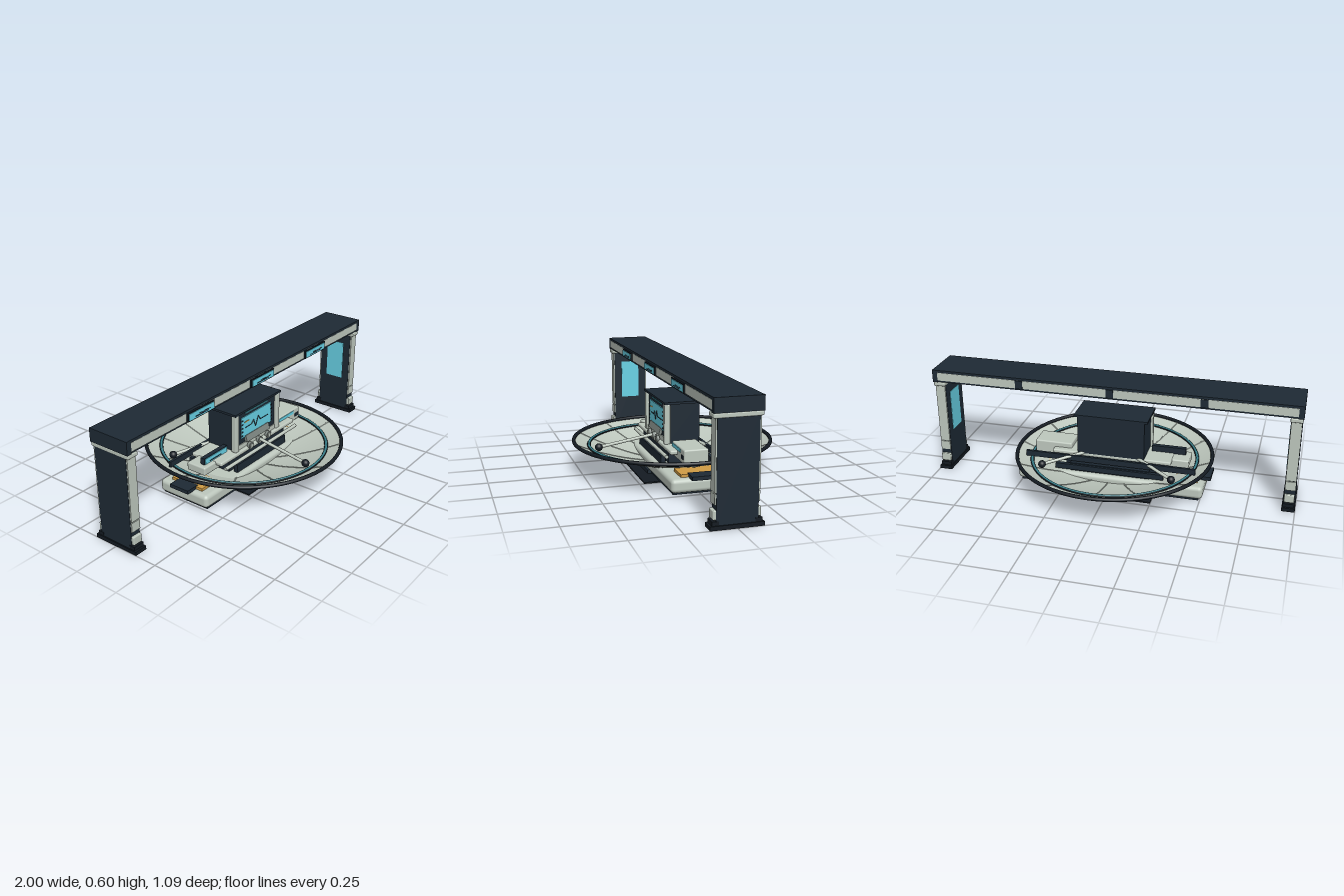
import * as THREE from 'three';
import { RoundedBoxGeometry } from 'three/addons/geometries/RoundedBoxGeometry.js';

const mat = (name, color, extra = {}) => {
  const m = new THREE.MeshStandardMaterial({ color, ...extra });
  m.name = name;
  return m;
};

export function createModel() {
  const root = new THREE.Group();
  root.name = 'scannerStation';
  const dark = mat('navy', 0x1e2a35);
  const black = mat('black', 0x141b22);
  const light = mat('paleGrey', 0xbec8be);
  const shell = mat('dishGrey', 0xbec8be, { side: THREE.DoubleSide });
  const mid = mat('midGrey', 0x7e8782);
  const cyan = mat('cyan', 0x68d2e6);
  const teal = mat('teal', 0x3a818c);
  const tan = mat('ochre', 0xd09c45);

  const add = (parent, name, geo, m, x = 0, y = 0, z = 0) => {
    const mesh = new THREE.Mesh(geo, m);
    mesh.name = name;
    mesh.position.set(x, y, z);
    parent.add(mesh);
    return mesh;
  };
  // Box from min/max extents
  const box = (parent, name, m, x0, x1, y0, y1, z0, z1) =>
    add(parent, name, new THREE.BoxGeometry(x1 - x0, y1 - y0, z1 - z0), m,
      (x0 + x1) / 2, (y0 + y1) / 2, (z0 + z1) / 2);
  const rbox = (parent, name, m, x0, x1, y0, y1, z0, z1, r) =>
    add(parent, name, new RoundedBoxGeometry(x1 - x0, y1 - y0, z1 - z0, 3, r), m,
      (x0 + x1) / 2, (y0 + y1) / 2, (z0 + z1) / 2);
  const rod = (parent, name, m, a, b, r) => {
    const d = b.clone().sub(a);
    const mesh = add(parent, name, new THREE.CylinderGeometry(r, r, d.length(), 10), m);
    mesh.position.copy(a).addScaledVector(d, 0.5);
    mesh.quaternion.setFromUnitVectors(new THREE.Vector3(0, 1, 0), d.normalize());
    return mesh;
  };
  const V = (x, y, z) => new THREE.Vector3(x, y, z);

  // Overhead beam
  const beam = new THREE.Group();
  beam.name = 'beam';
  root.add(beam);
  box(beam, 'beamTop', dark, -1, 1, 0.585, 0.598, -0.118, 0.118);
  box(beam, 'beamCore', dark, -0.998, 0.998, 0.528, 0.585, -0.112, 0.112);
  box(beam, 'beamLight', cyan, -0.8, 0.8, 0.524, 0.529, -0.022, 0.022);
  for (const s of [-1, 1]) {
    box(beam, 'beamFascia', light, -0.972, 0.972, 0.539, 0.584, s * 0.114 - 0.004, s * 0.114 + 0.004);
    box(beam, 'beamEnd', dark, s * 0.986 - 0.014, s * 0.986 + 0.014, 0.528, 0.586, -0.118, 0.118);
    add(beam, 'sensor', new THREE.SphereGeometry(0.011, 12, 8), black, s * 0.53, 0.526, 0);
  }
  // Beam displays in front, dividers at the back
  for (const x of [-0.5, 0, 0.5]) {
    box(beam, 'displayFrame', black, x - 0.1, x + 0.1, 0.538, 0.584, 0.115, 0.127);
    box(beam, 'display', cyan, x - 0.093, x + 0.093, 0.544, 0.578, 0.126, 0.13);
    box(beam, 'displayTrace', dark, x - 0.05, x + 0.05, 0.549, 0.554, 0.1295, 0.131);
    box(beam, 'displayTrace', dark, x - 0.02, x + 0.065, 0.556, 0.56, 0.1295, 0.131);
    box(beam, 'divider', dark, x - 0.02, x + 0.02, 0.538, 0.584, -0.122, -0.115);
  }

  // Mirrored legs
  for (const s of [-1, 1]) {
    const leg = new THREE.Group();
    leg.name = s > 0 ? 'leftLeg' : 'rightLeg';
    leg.position.x = s * 0.965;
    root.add(leg);
    box(leg, 'column', dark, -0.029, 0.029, 0.015, 0.53, -0.1, 0.1);
    box(leg, 'foot', black, -0.035, 0.035, 0, 0.02, -0.13, 0.13);
    rbox(leg, 'collar', light, -0.032, 0.032, 0.505, 0.528, -0.118, 0.118, 0.006);
    for (const t of [-1, 1]) {
      const z = t * 0.103;
      box(leg, 'columnTrim', light, -0.027, 0.027, 0.17, 0.506, z - 0.004, z + 0.004);
      box(leg, 'lowerTrim', light, -0.027, 0.027, 0.115, 0.165, z - 0.004, z + 0.004);
      rbox(leg, 'ankle', light, -0.027, 0.027, 0.045, 0.09, z - 0.012, z + 0.012, 0.005);
      box(leg, 'ankleBracket', black, -0.03, 0.03, 0.02, 0.04, z - 0.016, z + 0.016);
    }
    const xi = -s * 0.029;
    box(leg, 'innerPanel', cyan, xi - 0.002, xi + 0.002, 0.22, 0.45, -0.055, 0.055);
  }

  // Base under the dish
  const base = new THREE.Group();
  base.name = 'base';
  root.add(base);
  box(base, 'floorPlate', black, -0.25, 0.25, 0, 0.007, -0.226, 0.226);
  box(base, 'pedestal', dark, -0.1, 0.1, 0.007, 0.028, -0.167, 0.167);
  box(base, 'skid', dark, -0.495, 0.495, 0.009, 0.025, -0.145, 0.145);
  box(base, 'underPanel', tan, -0.48, 0.48, 0.006, 0.01, -0.125, 0.125);
  rbox(base, 'bed', light, -0.515, 0.515, 0.018, 0.09, -0.157, 0.157, 0.022);
  for (const s of [-1, 1]) {
    box(base, 'bedPad', tan, s * 0.42 - 0.06, s * 0.42 + 0.06, 0.088, 0.105, -0.1, 0.1);
    box(base, 'bedEnd', dark, s * 0.505 - 0.04, s * 0.505 + 0.04, 0.088, 0.108, -0.06, 0.06);
    box(base, 'sideBracket', dark, -0.22, 0.22, 0.09, 0.135, s * 0.115 - 0.012, s * 0.115 + 0.012);
  }

  // Dish shell with rim, seams and glowing ring
  const dish = new THREE.Group();
  dish.name = 'dish';
  root.add(dish);
  const dishY = r => 0.04 + 0.13 * Math.pow(r / 0.54, 1.8);
  const profile = [];
  for (let i = 0; i <= 16; i++) profile.push(new THREE.Vector2(0.54 * i / 16, dishY(0.54 * i / 16)));
  add(dish, 'dishShell', new THREE.LatheGeometry(profile, 72), shell);
  const ring = (name, m, R, r, y, sy = 1) => {
    const t = add(dish, name, new THREE.TorusGeometry(R, r, 10, 80), m, 0, y, 0);
    t.rotation.x = Math.PI / 2;
    t.scale.z = sy;
  };
  ring('rim', black, 0.537, 0.01, 0.171);
  ring('ringSeat', black, 0.455, 0.01, dishY(0.455) + 0.008, 0.6);
  ring('ringLight', teal, 0.455, 0.0065, dishY(0.455) + 0.012);
  for (let i = 0; i < 12; i++) {
    const a = i * Math.PI / 6;
    const pts = [0.15, 0.25, 0.35, 0.45, 0.53].map(r => V(r * Math.sin(a), dishY(r), r * Math.cos(a)));
    add(dish, 'seam', new THREE.TubeGeometry(new THREE.CatmullRomCurve3(pts), 12, 0.0035, 6), light);
  }
  // Three struts with ball ends
  for (let i = 0; i < 3; i++) {
    const a = i * Math.PI * 2 / 3;
    const p = r => V(r * Math.sin(a), 0.215 - r * 0.165, r * Math.cos(a));
    rod(dish, 'strut', light, p(0.05), p(0.41), 0.009);
    add(dish, 'strutBall', new THREE.SphereGeometry(0.021, 16, 12), black).position.copy(p(0.41));
  }

  // Operator console
  const desk = new THREE.Group();
  desk.name = 'console';
  root.add(desk);
  box(desk, 'consoleBase', dark, -0.25, 0.25, 0.1, 0.17, -0.095, 0.095);
  rbox(desk, 'deck', light, -0.33, 0.33, 0.165, 0.188, -0.095, 0.108, 0.008);
  rod(desk, 'frontRail', light, V(-0.32, 0.155, 0.125), V(0.32, 0.155, 0.125), 0.01);
  box(desk, 'backRail', dark, -0.47, 0.47, 0.15, 0.182, -0.132, -0.118);
  box(desk, 'lowerBackRail', dark, -0.3, 0.3, 0.1, 0.13, -0.14, -0.118);
  box(desk, 'cabinet', dark, -0.185, 0.185, 0.185, 0.4, -0.095, 0.085);
  box(desk, 'cabinetTop', dark, -0.203, 0.203, 0.4, 0.412, -0.1, 0.102);
  box(desk, 'knobPanel', light, -0.168, 0.168, 0.186, 0.214, 0.084, 0.09);
  for (const s of [-1, 1])
    rbox(desk, 'post', light, s * 0.182 - 0.016, s * 0.182 + 0.016, 0.186, 0.4, 0.068, 0.1, 0.006);
  // Screen with a pulse line
  box(desk, 'headerLine', teal, -0.1, 0.1, 0.379, 0.387, 0.084, 0.088);
  box(desk, 'screen', cyan, -0.135, 0.13, 0.245, 0.365, 0.084, 0.09);
  const wave = [[-0.1, 0.3], [-0.05, 0.3], [-0.03, 0.32], [-0.012, 0.275], [0.012, 0.33], [0.03, 0.3], [0.1, 0.3]];
  for (let i = 1; i < wave.length; i++)
    rod(desk, 'pulseLine', dark, V(...wave[i - 1], 0.09), V(...wave[i], 0.09), 0.0025);
  for (let i = 0; i < 5; i++)
    for (const s of [-1, 1])
      box(desk, 'screenTick', dark, s * 0.13 - 0.006, s * 0.13 + 0.006, 0.255 + i * 0.022, 0.263 + i * 0.022, 0.089, 0.092);
  box(desk, 'statusBar', tan, -0.11, -0.07, 0.33, 0.336, 0.089, 0.092);
  const keys = box(desk, 'keyboard', mid, -0.105, 0.1, 0.215, 0.252, 0.085, 0.1);
  keys.rotation.x = -0.3;
  for (const x of [-0.08, 0, 0.08]) {
    const knob = add(desk, 'knob', new THREE.CylinderGeometry(0.02, 0.02, 0.016, 20), mid, x, 0.19, 0.106);
    knob.rotation.x = Math.PI / 2;
    const cap = add(desk, 'knobCap', new THREE.CylinderGeometry(0.011, 0.011, 0.018, 16), light, x, 0.19, 0.108);
    cap.rotation.x = Math.PI / 2;
  }
  // Side screen and side cabinet
  rbox(desk, 'sideShelf', light, -0.42, -0.2, 0.14, 0.185, -0.05, 0.07, 0.008);
  box(desk, 'sideScreenBody', dark, -0.392, -0.205, 0.18, 0.221, 0.02, 0.045);
  box(desk, 'sideScreen', cyan, -0.386, -0.211, 0.187, 0.217, 0.044, 0.049);
  box(desk, 'sideScreenTrace', dark, -0.35, -0.26, 0.194, 0.198, 0.048, 0.051);
  rbox(desk, 'sideCabinet', light, 0.23, 0.44, 0.14, 0.216, -0.06, 0.07, 0.008);
  box(desk, 'sideCabinetScreen', cyan, 0.24, 0.38, 0.19, 0.208, 0.069, 0.073);
  box(desk, 'sideCabinetVent', dark, 0.395, 0.43, 0.165, 0.185, 0.069, 0.073);
  return root;
}
